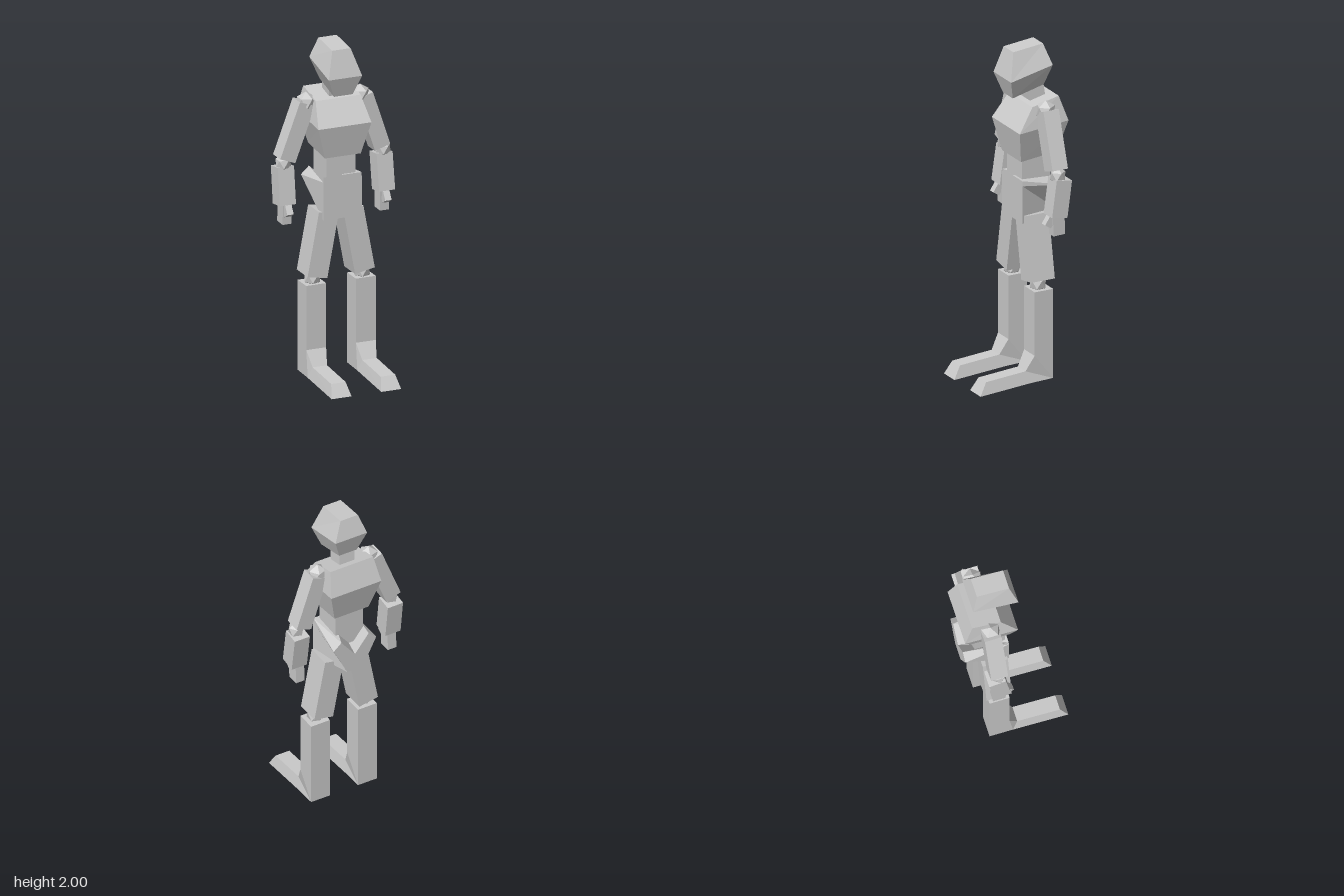
import * as THREE from 'three';

const grey = new THREE.MeshStandardMaterial({ color: 0xcccccc, flatShading: true });
grey.name = 'light grey';

function part(name, geometry) {
  const mesh = new THREE.Mesh(geometry, grey);
  mesh.name = name;
  return mesh;
}

// Closed faceted solid through matching loops, anticlockwise seen from the last one.
function loft(name, sections) {
  const out = [];
  const tri = (...pts) => pts.forEach((p) => out.push(...p));
  const n = sections[0].length;
  for (let i = 0; i < sections.length - 1; i++) {
    const a = sections[i], b = sections[i + 1];
    for (let j = 0; j < n; j++) {
      const k = (j + 1) % n;
      tri(a[j], a[k], b[k]);
      tri(a[j], b[k], b[j]);
    }
  }
  const first = sections[0], last = sections[sections.length - 1];
  for (let j = 1; j < n - 1; j++) {
    tri(first[0], first[j + 1], first[j]);
    tri(last[0], last[j], last[j + 1]);
  }
  const g = new THREE.BufferGeometry();
  g.setAttribute('position', new THREE.Float32BufferAttribute(out, 3));
  g.computeVertexNormals();
  return part(name, g);
}

// Four-cornered section: a front edge and a back edge, each with half width, y and z.
const quad = (cx, wf, yf, zf, wb, yb, zb) => [
  [cx - wf, yf, zf], [cx + wf, yf, zf], [cx + wb, yb, zb], [cx - wb, yb, zb],
];

// Box running from point a to point b.
function bar(name, a, b, width, depth) {
  const p = new THREE.Vector3(...a), q = new THREE.Vector3(...b);
  const dir = q.clone().sub(p);
  const mesh = part(name, new THREE.BoxGeometry(width, dir.length(), depth));
  mesh.position.copy(p).add(q).multiplyScalar(0.5);
  mesh.quaternion.setFromUnitVectors(new THREE.Vector3(0, 1, 0), dir.normalize());
  return mesh;
}

// Twenty-sided joint with one corner pointing up.
function joint(name, x, y, z, r) {
  const g = new THREE.IcosahedronGeometry(r, 0);
  g.rotateZ(-Math.atan(2 / (1 + Math.sqrt(5))));
  const mesh = part(name, g);
  mesh.position.set(x, y, z);
  return mesh;
}

function createArm(s) {
  const arm = new THREE.Group();
  arm.name = s > 0 ? 'leftArm' : 'rightArm';
  const elbowX = s > 0 ? 0.288 : -0.303;
  arm.add(
    joint('shoulder', s * 0.168, 1.645, -0.15, 0.06),
    bar('upperArm', [elbowX, 1.32, -0.153], [s * 0.18, 1.645, -0.153], 0.1, 0.1),
    joint('elbow', s * 0.31, 1.297, -0.15, 0.05),
    bar('forearm', [s * 0.309, 1.055, -0.137], [s * 0.307, 1.275, -0.168], 0.1, 0.1),
    bar('hand', [s * 0.303, 0.94, -0.15], [s * 0.303, 1.07, -0.145], 0.056, 0.075),
    bar('thumb', [s * 0.305, 1.0, -0.08], [s * 0.305, 1.08, -0.13], 0.04, 0.045),
  );
  return arm;
}

function createLeg(s) {
  const leg = new THREE.Group();
  leg.name = s > 0 ? 'leftLeg' : 'rightLeg';
  const cx = s > 0 ? 0.159 : -0.15;
  leg.add(
    bar('thigh', [s * 0.148, 0.62, -0.112], [s * 0.077, 1.0, -0.112], 0.125, 0.15),
    joint('knee', cx, 0.602, -0.105, 0.052),
    // Sections run from the toe, over the instep and ankle, up to the knee.
    loft('shinAndFoot', [
      quad(cx, 0.045, 0.08, 0.255, 0.062, 0.005, 0.3),
      quad(cx, 0.045, 0.1, 0, 0.062, 0.03, -0.03),
      quad(cx, 0.062, 0.19, -0.05, 0.062, 0.035, -0.17),
      quad(cx, 0.062, 0.575, -0.05, 0.062, 0.575, -0.17),
    ]),
  );
  return leg;
}

export function createModel() {
  const model = new THREE.Group();
  model.name = 'figure';

  model.add(
    loft('head', [
      quad(-0.004, 0.058, 1.705, 0, 0.058, 1.755, -0.2),
      quad(-0.006, 0.104, 1.82, 0.035, 0.104, 1.88, -0.235),
      quad(-0.012, 0.057, 1.98, -0.008, 0.057, 2.0, -0.2),
    ]),
    bar('neck', [0.008, 1.64, -0.165], [0.002, 1.79, -0.145], 0.098, 0.1),
    loft('chest', [
      quad(0.002, 0.112, 1.335, -0.02, 0.112, 1.36, -0.25),
      quad(0, 0.165, 1.525, 0.015, 0.165, 1.555, -0.3),
      quad(0, 0.14, 1.665, -0.08, 0.14, 1.705, -0.25),
    ]),
    bar('waist', [0, 1.12, -0.13], [0, 1.37, -0.13], 0.18, 0.18),
  );

  // Pelvis: flat front panel narrowing to a V with raised wings at the back.
  const outline = (half, z) => {
    const [top, ...right] = half;
    return [top, ...right.map(([x, y]) => [-x, y]), ...right.slice().reverse()]
      .map(([x, y]) => [x + 0.003, y, z]);
  };
  model.add(loft('pelvis', [
    outline([[0, 1.09], [0.09, 1.205], [0.14, 1.16], [0.05, 0.98]], -0.29),
    outline([[0, 1.22], [0.118, 1.22], [0.12, 1.19], [0.12, 0.962]], -0.025),
  ]));

  for (const s of [-1, 1]) model.add(createArm(s), createLeg(s));
  return model;
}
